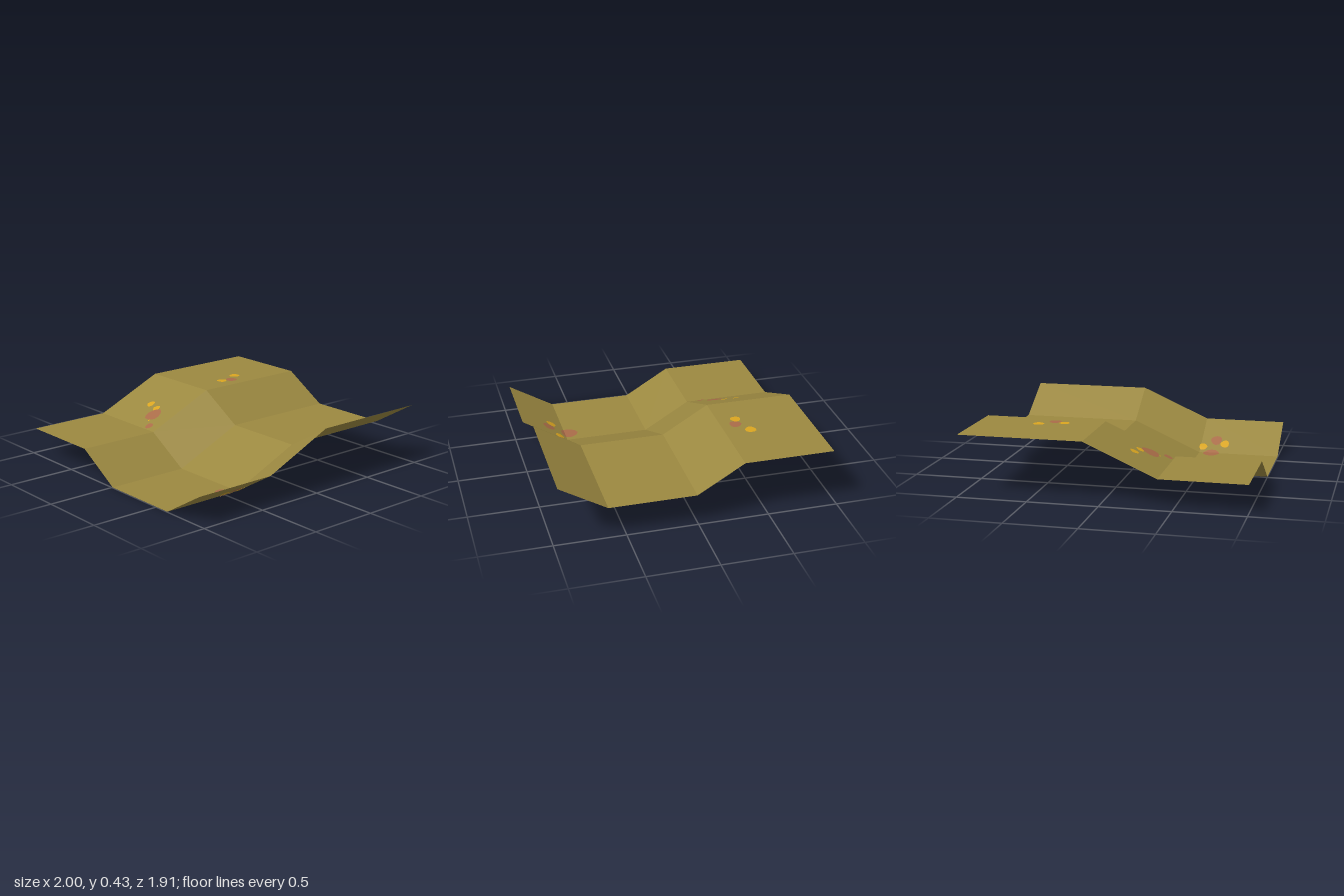
import * as THREE from 'three';

// Fold profiles: [position, height] along x and along z
const FOLDS_X = [[-1, 0], [-0.39, 0], [0.12, 0.227], [1, 0.227]];
const FOLDS_Z = [[-0.955, 0.198], [-0.32, 0.198], [0.01, 0], [0.622, 0], [0.955, 0.198]];

function profile(folds, t) {
  let i = 0;
  while (i < folds.length - 2 && t > folds[i + 1][0]) i++;
  const [a, ha] = folds[i], [b, hb] = folds[i + 1];
  return ha + (hb - ha) * (t - a) / (b - a);
}
const height = (x, z) => profile(FOLDS_X, x) + profile(FOLDS_Z, z);

const material = (name, color) => {
  const m = new THREE.MeshStandardMaterial({ color, side: THREE.DoubleSide });
  m.name = name;
  return m;
};

function meshFrom(name, positions, mat) {
  const geometry = new THREE.BufferGeometry();
  geometry.setAttribute('position', new THREE.Float32BufferAttribute(positions, 3));
  geometry.computeVertexNormals();
  const mesh = new THREE.Mesh(geometry, mat);
  mesh.name = name;
  return mesh;
}

// Folded ground sheet: one flat panel per cell of the fold grid
function makeGround(mat) {
  const positions = [];
  for (let i = 0; i < FOLDS_X.length - 1; i++) {
    for (let j = 0; j < FOLDS_Z.length - 1; j++) {
      const corner = (a, b) => {
        const [x, hx] = FOLDS_X[i + a], [z, hz] = FOLDS_Z[j + b];
        return [x, hx + hz, z];
      };
      const a = corner(0, 0), b = corner(0, 1), c = corner(1, 1), d = corner(1, 0);
      positions.push(...a, ...b, ...c, ...a, ...c, ...d);
    }
  }
  return meshFrom('ground', positions, mat);
}

// Keep the part of a polygon of [x, z] points on one side of z = limit
function clip(points, limit, side) {
  const out = [];
  points.forEach((p, i) => {
    const q = points[(i + 1) % points.length];
    const dp = (p[1] - limit) * side, dq = (q[1] - limit) * side;
    if (dp >= 0) out.push(p);
    if (dp * dq < 0) {
      const t = dp / (dp - dq);
      out.push([p[0] + (q[0] - p[0]) * t, limit]);
    }
  });
  return out;
}

// Slightly irregular blotch following the sheet, painted on both faces
function makePatch(name, x, z, r, lift, mat) {
  const outline = [];
  for (let k = 0; k < 12; k++) {
    const a = k / 12 * Math.PI * 2;
    const rr = r * (1 + 0.07 * Math.sin(3 * a + x * 20));
    outline.push([x + rr * Math.cos(a), z - rr * Math.sin(a)]);
  }
  const positions = [];
  for (const side of [-1, 1]) {
    const part = clip(outline, 0.622, side);
    for (const offset of [lift, -lift]) {
      const v = part.map(([px, pz]) => [px, height(px, pz) + offset, pz]);
      for (let k = 1; k < v.length - 1; k++) {
        const tri = [v[0], v[k], v[k + 1]];
        if (offset < 0) tri.reverse();
        positions.push(...tri.flat());
      }
    }
  }
  return meshFrom(name, positions, mat);
}

export function createModel() {
  const group = new THREE.Group();
  group.name = 'foldedGround';
  const olive = material('olive', 0x9b8840);
  const gold = material('gold', 0xdaa520);
  const rust = material('rust', 0xa96c48);

  group.add(makeGround(olive));

  // Blotches: x, z, radius
  const goldPatches = [
    [-0.165, -0.64, 0.03], [-0.185, -0.545, 0.028], [-0.31, -0.478, 0.007],
    [0.385, -0.45, 0.037], [0.56, -0.505, 0.04],
    [-0.575, 0.71, 0.034], [-0.41, 0.675, 0.031],
  ];
  const rustPatches = [
    [-0.25, -0.5, 0.061], [-0.355, -0.415, 0.029], [0.46, -0.425, 0.043],
    [-0.485, 0.59, 0.063], [-0.505, 0.74, 0.043],
  ];
  goldPatches.forEach(([x, z, r]) => group.add(makePatch('goldPatch', x, z, r, 0.002, gold)));
  rustPatches.forEach(([x, z, r]) => group.add(makePatch('rustPatch', x, z, r, 0.003, rust)));
  return group;
}
